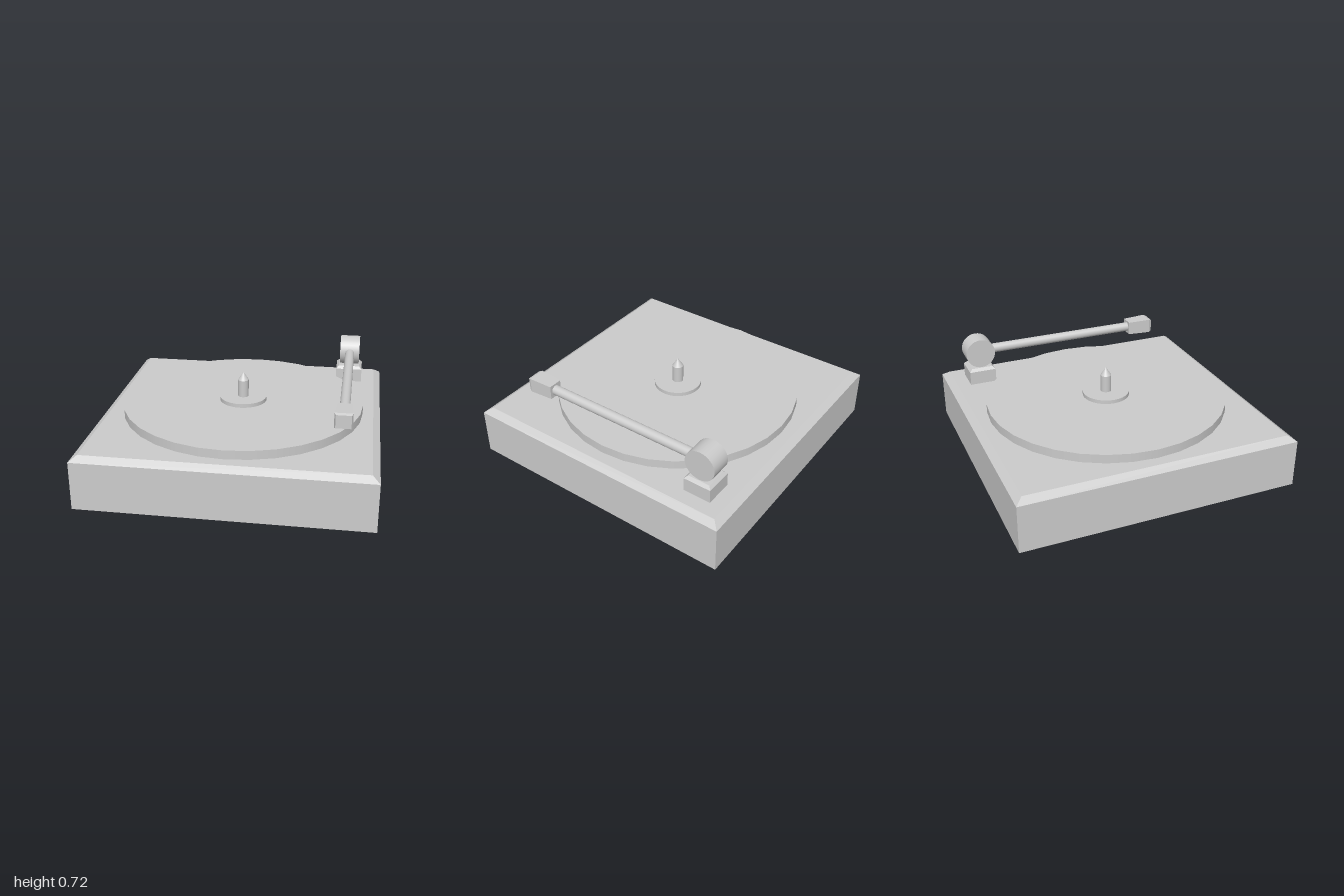
import * as THREE from 'three';

const material = new THREE.MeshStandardMaterial({ color: 0xcccccc });
const flat = new THREE.MeshStandardMaterial({ color: 0xcccccc, flatShading: true, side: THREE.DoubleSide });

// Rectangular cross-sections [y, halfWidth, halfDepth] joined from bottom to top
function loft(sections, bottomCap = true) {
  const positions = [], index = [];
  for (const [y, w, d] of sections) positions.push(-w, y, d, w, y, d, w, y, -d, -w, y, -d);
  for (let s = 0; s < sections.length - 1; s++) {
    for (let i = 0; i < 4; i++) {
      const a = s * 4 + i, b = s * 4 + (i + 1) % 4;
      index.push(a, b, b + 4, a, b + 4, a + 4);
    }
  }
  const t = (sections.length - 1) * 4;
  index.push(t, t + 1, t + 2, t, t + 2, t + 3);
  if (bottomCap) index.push(0, 2, 1, 0, 3, 2);
  const geometry = new THREE.BufferGeometry();
  geometry.setAttribute('position', new THREE.Float32BufferAttribute(positions, 3));
  geometry.setIndex(index);
  const faceted = geometry.toNonIndexed();
  faceted.computeVertexNormals();
  return faceted;
}

export function createModel() {
  const model = new THREE.Group();
  model.name = 'recordPlayer';

  function add(name, geometry, x, y, z, mat = material) {
    const mesh = new THREE.Mesh(geometry, mat);
    mesh.name = name;
    mesh.position.set(x, y, z);
    model.add(mesh);
    return mesh;
  }
  const disc = (name, r, y0, y1) =>
    add(name, new THREE.CylinderGeometry(r, r, y1 - y0, 32), 0, (y0 + y1) / 2, 0);

  // Hollow case, open underneath, with a bevelled top edge
  add('case', loft([[0, 1, 1], [0.342, 1, 1], [0.378, 0.95, 0.95]], false), 0, 0, 0, flat);

  // Turning parts
  disc('platter', 0.873, 0.379, 0.442);
  disc('label', 0.17, 0.44, 0.47);
  disc('spindle', 0.039, 0.46, 0.595);
  add('spindleTip', new THREE.ConeGeometry(0.039, 0.06, 32), 0, 0.625, 0);

  // Tonearm mount and pivot drum
  const armX = 0.75, armY = 0.611, pivotZ = -0.75;
  add('armMount', loft([[0.378, 0.1, 0.1], [0.478, 0.1, 0.1], [0.498, 0.08, 0.08]]), armX, 0, pivotZ, flat);
  add('pivotDrum', new THREE.CylinderGeometry(0.111, 0.111, 0.15, 32), armX, armY, pivotZ).rotation.z = Math.PI / 2;

  // Arm tube reaching forward to the head
  add('armTube', new THREE.CylinderGeometry(0.035, 0.035, 1.2, 32), armX, armY, -0.1).rotation.x = Math.PI / 2;
  add('head', loft([[0.5, 0.05, 0.05], [0.675, 0.061, 0.054], [0.696, 0.052, 0.046]]), armX, armY, 0, flat)
    .rotation.x = Math.PI / 2;

  return model;
}
